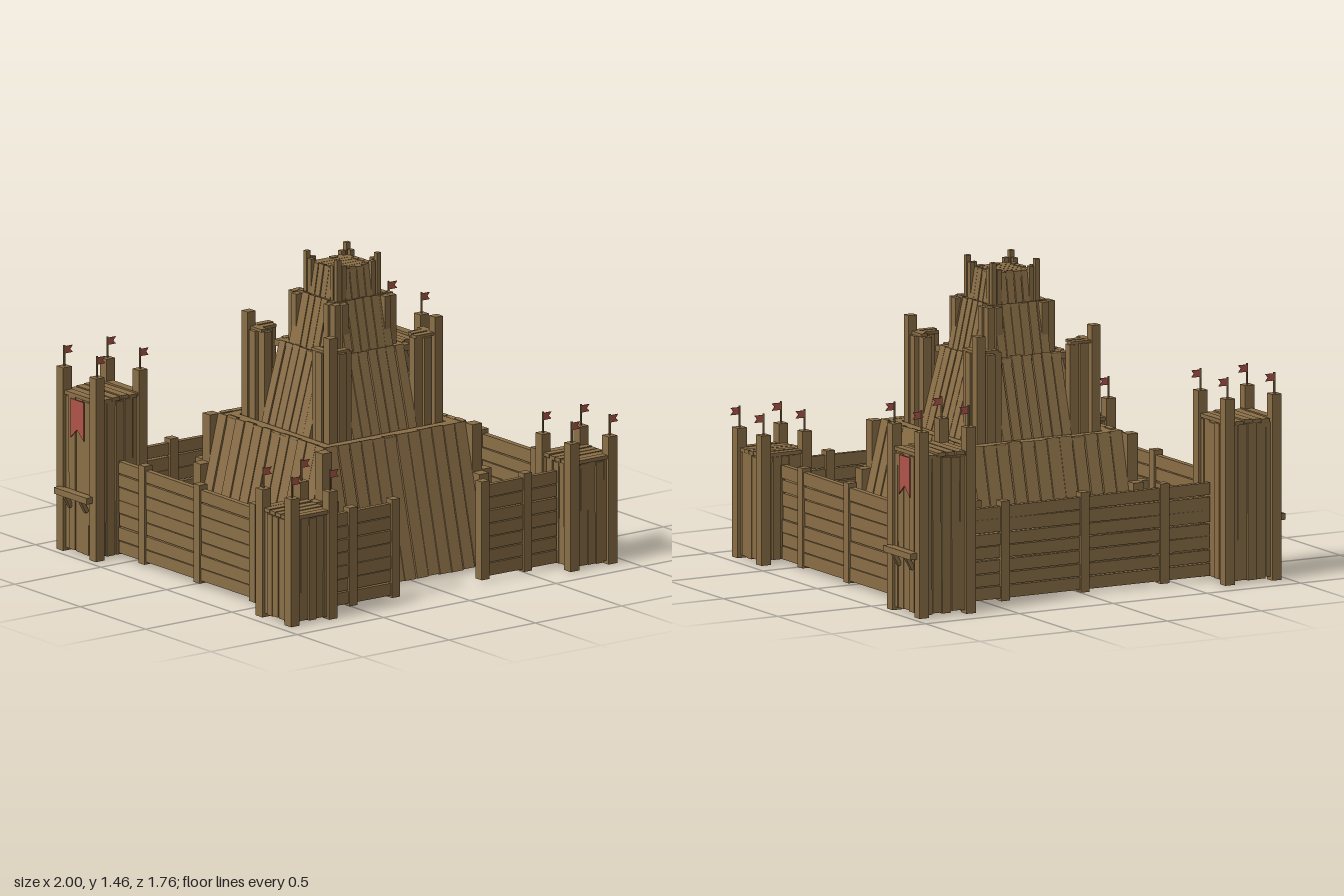
import * as THREE from 'three';

const wood = new THREE.MeshStandardMaterial({ color: 0x8b6f47, flatShading: true });
const cloth = new THREE.MeshStandardMaterial({ color: 0xb0544a, flatShading: true, side: THREE.DoubleSide });

// small seeded jitter, -1..1
let seed = 7;
const jitter = () => {
  seed = (seed * 16807) % 2147483647;
  return (seed / 2147483647) * 2 - 1;
};

function group(parent, name, x = 0, y = 0, z = 0) {
  const g = new THREE.Group();
  g.name = name;
  g.position.set(x, y, z);
  parent.add(g);
  return g;
}

function box(parent, name, w, h, d, x, y, z) {
  const m = new THREE.Mesh(new THREE.BoxGeometry(w, h, d), wood);
  m.name = name;
  m.position.set(x, y, z);
  parent.add(m);
  return m;
}

// upright post given by its top and bottom
const post = (parent, x, z, y0, y1, s = 0.05, name = 'post') =>
  box(parent, name, s, y1 - y0, s, x, (y0 + y1) / 2, z);

function clothShape(parent, name, pts, depth) {
  const shape = new THREE.Shape(pts.map(p => new THREE.Vector2(...p)));
  const geo = new THREE.ExtrudeGeometry(shape, { depth, bevelEnabled: false });
  const m = new THREE.Mesh(geo, cloth);
  m.name = name;
  parent.add(m);
  return m;
}

// pole with a swallow-tailed pennant
function flag(parent, x, y, z) {
  const g = group(parent, 'flag', x, y, z);
  box(g, 'flagPole', 0.007, 0.1, 0.007, 0, 0.05, 0);
  clothShape(g, 'pennant', [[0, 0.06], [0.048, 0.06], [0.034, 0.077], [0.048, 0.094], [0, 0.094]], 0.004)
    .position.z = -0.002;
}

// run of horizontal boards along local x, with posts
function wall(parent, name, x, z, length, angle, posts) {
  const g = group(parent, name, x, 0, z);
  g.rotation.y = angle;
  const rows = 7, pitch = 0.44 / rows;
  for (let i = 0; i < rows; i++) {
    const b = box(g, 'wallBoard', length, pitch - 0.004 + jitter() * 0.003, 0.026 + jitter() * 0.004,
      0, 0.02 + pitch * (i + 0.5), jitter() * 0.002);
    b.rotation.z = jitter() * 0.005;
  }
  posts.forEach(p => post(g, p, 0, 0.01, 0.48, 0.046, 'wallPost'));
}

// square corner tower; r is the distance from the centre to the corner posts
function tower(parent, name, x, z, r, deckY, postY, boardsAlongX) {
  const g = group(parent, name, x, 0, z);
  const n = 5, span = 2 * r, pitch = span / n;
  for (let s = 0; s < 4; s++) {
    const side = group(g, 'towerSide');
    side.rotation.y = s * Math.PI / 2;
    for (let i = 0; i < n; i++) {
      const y0 = 0.015 + jitter() * 0.005, y1 = deckY - 0.02 + jitter() * 0.006;
      const b = box(side, 'towerPlank', pitch - 0.003 + jitter() * 0.002, y1 - y0, 0.022,
        -r + pitch * (i + 0.5), (y0 + y1) / 2, r + jitter() * 0.004);
      b.rotation.z = jitter() * 0.004;
    }
    box(side, 'deckBeam', span, 0.025, 0.03, 0, deckY - 0.03, r - 0.01);
  }
  const deck = group(g, 'deck');
  if (boardsAlongX) deck.rotation.y = Math.PI / 2;
  const wide = (span + 0.035) / 6;
  for (let i = 0; i < 6; i++) {
    box(deck, 'deckBoard', wide - 0.005, 0.018, span + 0.03 + jitter() * 0.008,
      (i - 2.5) * wide, deckY - 0.009 + jitter() * 0.005, 0).rotation.y = jitter() * 0.015;
  }
  for (const sx of [-1, 1]) for (const sz of [-1, 1]) {
    post(g, sx * r, sz * r, 0, postY, 0.05, 'cornerPost');
    flag(g, sx * r, postY, sz * r);
  }
  return g;
}

// ring of leaning planks, a rim on top and clustered posts at the corners
function tier(parent, name, t) {
  const g = group(parent, name);
  const h = t.y1 - t.y0, lean = t.bottom - t.top;
  const pitch = 2 * t.half / t.count;
  for (let s = 0; s < 4; s++) {
    const side = group(g, 'tierSide');
    side.rotation.y = s * Math.PI / 2;
    for (let i = 0; i < t.count; i++) {
      const b = box(side, 'leaningPlank', pitch - 0.005 + jitter() * 0.002, Math.hypot(h, lean) + jitter() * 0.006, 0.02,
        -t.half + pitch * (i + 0.5), t.y0 + h / 2, (t.bottom + t.top) / 2 - 0.01 + jitter() * 0.003);
      b.rotation.x = -Math.atan2(lean, h);
    }
    box(side, 'rimBeam', 2 * t.top, 0.03, t.rim, 0, t.y1 - 0.02, t.top - t.rim / 2);
    // posts listed for one corner, repeated by the side's rotation
    for (const [x, z, top] of t.posts) post(side, x, z, t.y0, top + jitter() * 0.003, t.postSize, 'tierPost');
    for (const [x, z, w, d, y] of t.caps || []) box(side, 'capBoard', w, 0.014, d, x, y, z);
  }
}

export function createModel() {
  const model = new THREE.Group();
  model.name = 'woodenFort';

  // stepped keep
  const keep = group(model, 'keep', 0, 0, 0.025);
  tier(keep, 'lowerTier', {
    y0: 0.015, y1: 0.67, bottom: 0.57, top: 0.41, half: 0.405, count: 12, rim: 0.07, postSize: 0.056,
    posts: [[0.43, 0.435, 0.665], [0.43, 0.49, 0.44], [0.485, 0.435, 0.44]],
  });
  tier(keep, 'middleTier', {
    y0: 0.64, y1: 1.035, bottom: 0.335, top: 0.225, half: 0.185, count: 7, rim: 0.05, postSize: 0.045,
    posts: [[0.312, 0.305, 1.165], [0.312, 0.25, 1.08], [0.25, 0.305, 1.08],
      [0.205, 0.29, 1.08], [0.29, 0.205, 1.08], [0.25, 0.25, 1.08]],
    caps: [[0.25, 0.3, 0.13, 0.035, 1.087], [0.3, 0.25, 0.035, 0.1, 1.087], [0.25, 0.255, 0.1, 0.035, 1.087]],
  });
  tier(keep, 'upperTier', {
    y0: 1.0, y1: 1.27, bottom: 0.215, top: 0.155, half: 0.14, count: 6, rim: 0.04, postSize: 0.036,
    posts: [[0.16, 0.16, 1.265], [0.122, 0.17, 1.265], [0.17, 0.122, 1.265]],
  });
  tier(keep, 'topTier', {
    y0: 1.23, y1: 1.41, bottom: 0.135, top: 0.105, half: 0.08, count: 4, rim: 0.03, postSize: 0.024,
    posts: [[0.117, 0.115, 1.46], [0.085, 0.115, 1.43], [0.115, 0.085, 1.43]],
  });
  for (let i = 0; i < 5; i++) {
    box(keep, 'topDeckBoard', 0.2 + jitter() * 0.01, 0.014, 0.037, 0, 1.4, (i - 2) * 0.04);
  }

  // palisade
  wall(model, 'backWall', 0, -0.72, 1.34, 0, [-0.425, 0, 0.425]);
  for (const s of [-1, 1]) {
    wall(model, 'sideWall', s * 0.815, 0.015, 1.21, Math.PI / 2, [-0.425, 0, 0.42]);
    wall(model, 'frontWall', s * 0.465, 0.755, 0.43, 0, [-s * 0.205, s * 0.04]);

    // corner towers
    tower(model, 'frontTower', s * 0.81, 0.745, 0.11, 0.52, 0.61, true);
    const back = tower(model, 'backTower', s * 0.815, -0.735, 0.125, 0.765, 0.875, false);

    // outer shelf with brackets
    box(back, 'shelf', 0.045, 0.03, 0.25, s * 0.163, 0.29, 0);
    for (const z of [-0.06, 0.06]) {
      box(back, 'shelfBracket', 0.02, 0.07, 0.02, s * 0.153, 0.25, z).rotation.z = -s * 0.5;
    }

    // hanging banner
    const banner = clothShape(back, 'banner',
      [[-0.05, 0.74], [-0.05, 0.555], [0, 0.6], [0.05, 0.555], [0.05, 0.74]], 0.006);
    banner.rotation.y = s * Math.PI / 2;
    banner.position.x = s * 0.14;
  }
  return model;
}
